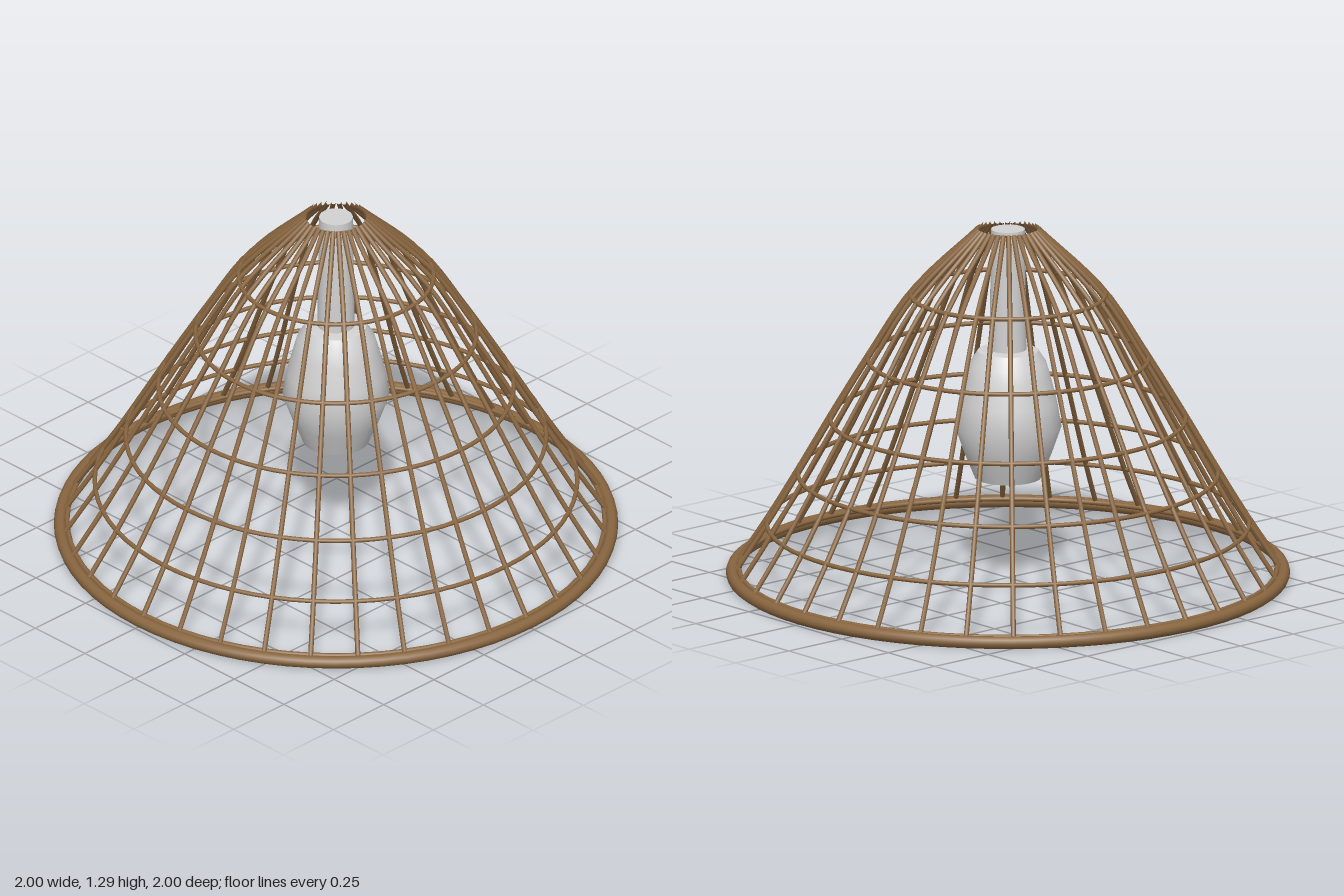
import * as THREE from 'three';

export function createModel() {
  const model = new THREE.Group();
  model.name = 'pendantLamp';
  const cane = new THREE.MeshStandardMaterial({ color: 0x896640 });
  cane.name = 'brown cane';
  const glass = new THREE.MeshStandardMaterial({ color: 0xd2d2d2, side: THREE.DoubleSide });
  glass.name = 'pale grey';

  function add(geometry, material, name, parent = model) {
    const mesh = new THREE.Mesh(geometry, material);
    mesh.name = name;
    parent.add(mesh);
    return mesh;
  }

  // Shade outline as [radius, height], from the rim to the neck
  const outline = [
    [0.965, 0.03], [0.855, 0.2], [0.745, 0.385], [0.63, 0.585],
    [0.498, 0.805], [0.346, 1.04], [0.105, 1.28],
  ];

  // Curved ribs
  const ribs = new THREE.Group();
  ribs.name = 'ribs';
  model.add(ribs);
  const curve = new THREE.CatmullRomCurve3(outline.map(([r, y]) => new THREE.Vector3(r, y, 0)));
  const ribGeometry = new THREE.TubeGeometry(curve, 24, 0.009, 8);
  const ribCount = 36;
  for (let i = 0; i < ribCount; i++) {
    add(ribGeometry, cane, 'rib', ribs).rotation.y = (i / ribCount) * Math.PI * 2;
  }

  // Horizontal hoops and the thick rim
  function hoop(radius, y, tube, name) {
    const mesh = add(new THREE.TorusGeometry(radius, tube, 10, 72), cane, name);
    mesh.rotation.x = Math.PI / 2;
    mesh.position.y = y;
  }
  outline.slice(1, -1).forEach(([r, y]) => hoop(r, y, 0.008, 'hoop'));
  hoop(0.9775, 0.0225, 0.0225, 'rim');
  hoop(0.953, 0.036, 0.009, 'innerRimHoop');

  // Lathe with every section kept as its own smooth band
  function turned(points, name) {
    add(new THREE.LatheGeometry(points.map(([r, y]) => new THREE.Vector2(r, y)), 24), glass, name);
  }

  // Bulb body, its shallow underside and its flat shoulder
  turned([[0.118, 0.37], [0.155, 0.46], [0.19, 0.56], [0.175, 0.65], [0.152, 0.74], [0.137, 0.79], [0.108, 0.835]], 'bulb');
  turned([[0, 0.345], [0.118, 0.37]], 'bulbUnderside');
  turned([[0.108, 0.835], [0.06, 0.84], [0, 0.84]], 'bulbShoulder');

  // Stem up to the neck of the shade
  const stem = add(new THREE.CylinderGeometry(0.06, 0.066, 0.44, 24), glass, 'stem');
  stem.position.y = 1.06;

  return model;
}
